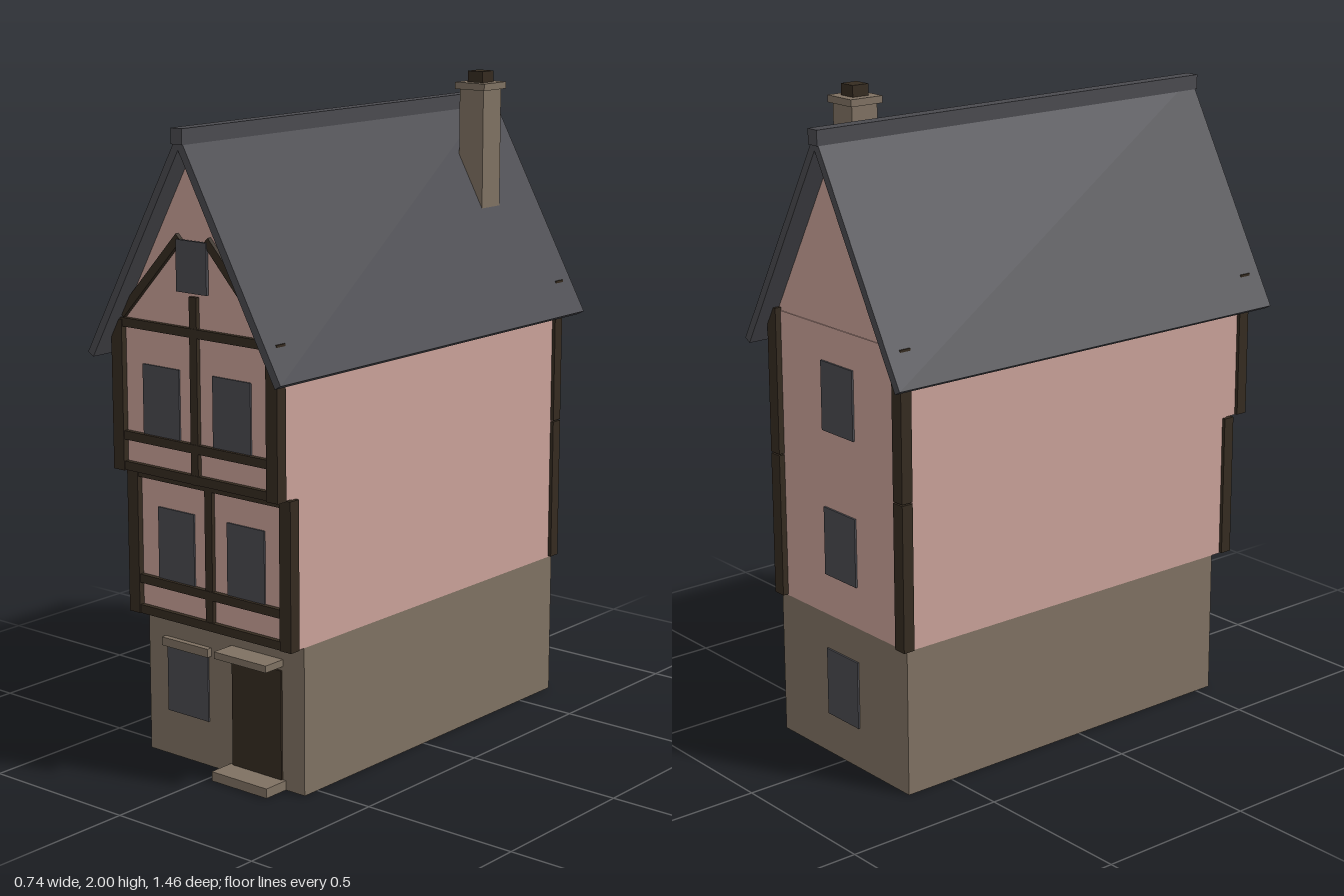
import * as THREE from 'three';

const mat = (name, color, side = THREE.FrontSide) => {
  const m = new THREE.MeshStandardMaterial({ color, side });
  m.name = name;
  return m;
};

export function createModel() {
  const house = new THREE.Group();
  house.name = 'townHouse';

  const plaster = mat('pinkPlaster', 0xc9a198);
  const stone = mat('stone', 0x7f7162);
  const timber = mat('darkTimber', 0x352b20);
  const slate = mat('slate', 0x4a4a4f);

  const add = (name, geo, material) => {
    const mesh = new THREE.Mesh(geo, material);
    mesh.name = name;
    house.add(mesh);
    return mesh;
  };
  // Box given by its lower and upper limits
  const box = (name, material, x0, x1, y0, y1, z0, z1) => {
    const m = add(name, new THREE.BoxGeometry(x1 - x0, y1 - y0, z1 - z0), material);
    m.position.set((x0 + x1) / 2, (y0 + y1) / 2, (z0 + z1) / 2);
    return m;
  };
  const outline = (pts) => new THREE.Shape(pts.map(([x, y]) => new THREE.Vector2(x, y)));
  const extrudeZ = (name, material, pts, z0, z1) => {
    const geo = new THREE.ExtrudeGeometry(outline(pts), { depth: z1 - z0, bevelEnabled: false });
    return add(name, geo.translate(0, 0, z0), material);
  };

  const W = 0.307, BACK = -0.66;
  const F0 = 0.556, F1 = 0.607, F2 = 0.66; // front face of each storey

  // Hollow storeys, open below, each jettied out over the last
  const storey = (name, material, y0, y1, front) => {
    const s = outline([[-W, -front], [W, -front], [W, -BACK], [-W, -BACK]]);
    const hx = W - 0.02, hf = -0.536, hb = -BACK - 0.02;
    s.holes.push(outline([[-hx, hf], [-hx, hb], [hx, hb], [hx, hf]]));
    const geo = new THREE.ExtrudeGeometry(s, { depth: y1 - y0, bevelEnabled: false });
    add(name, geo.rotateX(-Math.PI / 2).translate(0, y0, 0), material);
  };
  storey('groundFloorWalls', stone, 0, 0.447, F0);
  storey('middleFloorWalls', plaster, 0.447, 0.895, F1);
  storey('upperFloorWalls', plaster, 0.895, 1.335, F2);

  // Gables
  const gable = [[-0.297, 1.335], [0.297, 1.335], [0, 1.868]];
  extrudeZ('frontGable', plaster, gable, F2 - 0.02, F2);
  extrudeZ('backGable', plaster, gable, BACK + 0.003, BACK + 0.023);

  // Steep roof and ridge
  extrudeZ('roof', slate, [
    [-0.37, 1.245], [-0.349, 1.233], [0, 1.856],
    [0.349, 1.233], [0.37, 1.245], [0, 1.905],
  ], -0.722, 0.722);
  box('ridgeCap', slate, -0.021, 0.021, 1.872, 1.917, -0.728, 0.728);

  // Chimney
  box('chimneyShaft', stone, 0.09, 0.18, 1.56, 1.945, -0.525, -0.435);
  box('chimneyCap', stone, 0.079, 0.191, 1.945, 1.966, -0.536, -0.424);
  box('chimneyPot', timber, 0.107, 0.163, 1.966, 2, -0.508, -0.452);

  // Corner posts on both timbered storeys
  for (const [y0, y1, front] of [[0.45, 0.893, F1], [0.897, 1.345, F2]]) {
    for (const sx of [-1, 1]) {
      for (const z of [front, BACK]) {
        const post = box('cornerPost', timber, -0.021, 0.021, y0, y1, -0.0185, 0.0185);
        post.position.x = sx * 0.297;
        post.position.z = z;
      }
    }
  }

  // Horizontal rails and middle posts of the front frame
  const rail = (y, front) =>
    box('frontRail', timber, -0.297, 0.297, y - 0.013, y + 0.013, front - 0.015, front + 0.015);
  for (const y of [0.463, 0.557, 0.881]) rail(y, F1);
  for (const y of [0.912, 1.003, 1.337]) rail(y, F2);
  box('middlePost', timber, -0.014, 0.014, 0.45, 0.893, F1 - 0.013, F1 + 0.013);
  box('middlePost', timber, -0.014, 0.014, 0.897, 1.44, F2 - 0.013, F2 + 0.013);

  // Slanting gable braces
  for (const s of [-1, 1]) {
    const dx = 0.23, dy = 0.245;
    const brace = add('gableBrace',
      new THREE.BoxGeometry(Math.hypot(dx, dy), 0.026, 0.026), timber);
    brace.position.set(s * 0.167, 1.482, F2);
    brace.rotation.z = -s * Math.atan2(dy, dx);
  }

  // Windows
  const pane = (name, x, y, w, h, z) =>
    box(name, slate, x - w / 2, x + w / 2, y - h / 2, y + h / 2, z - 0.004, z + 0.005);
  for (const x of [-0.136, 0.136]) {
    pane('middleFloorWindow', x, 0.676, 0.143, 0.22, F1);
    pane('upperFloorWindow', x, 1.112, 0.143, 0.22, F2);
  }
  pane('gableWindow', 0, 1.525, 0.116, 0.148, F2 + 0.012);
  pane('groundFloorWindow', -0.146, 0.25, 0.164, 0.22, F0);
  for (const y of [0.235, 0.68, 1.125]) pane('backWindow', 0, y, 0.15, 0.21, BACK - 0.002);

  // Entrance
  box('windowLintel', stone, -0.238, -0.053, 0.345, 0.371, F0 - 0.01, 0.574);
  box('door', timber, 0.032, 0.223, 0.028, 0.362, F0 - 0.003, F0 + 0.006);
  box('doorCanopy', stone, 0.027, 0.227, 0.375, 0.396, F0 - 0.01, 0.632);
  box('doorStep', stone, 0.021, 0.235, 0, 0.029, F0 - 0.01, 0.641);

  return house;
}
